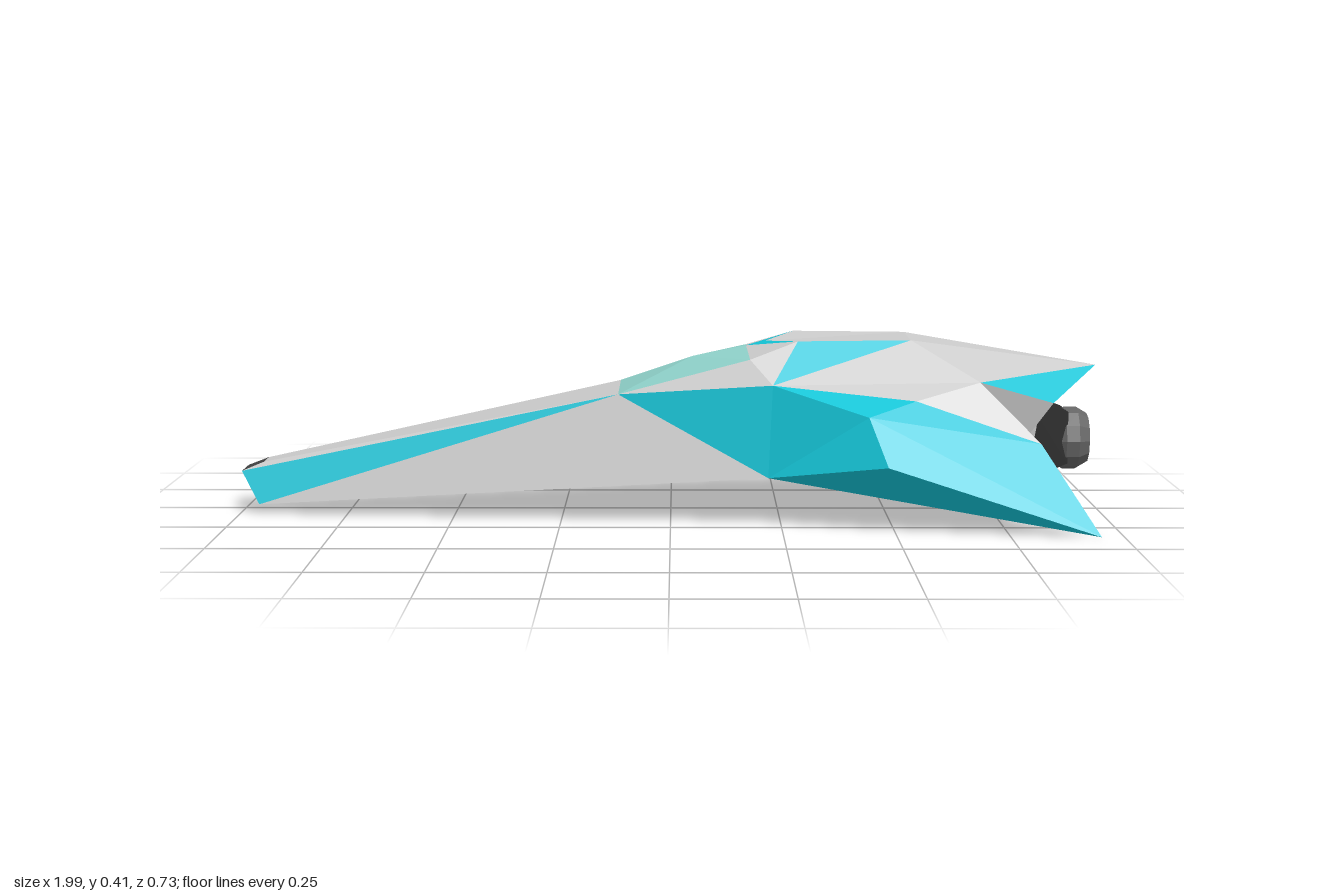
import * as THREE from 'three';

const paint = (color) => new THREE.MeshStandardMaterial({ color, flatShading: true, side: THREE.DoubleSide });
const GREY = paint(0xcccccc), TEAL = paint(0x12c4d6), DARK = paint(0x444444), GLASS = paint(0x8fd2ca);

// Named hull corners on the left half (+z); a trailing "-" means the mirrored one.
const P = {
  noseTip: [-1, 0.095, 0.045], noseLow: [-0.955, 0.022, 0.08], noseTop: [-0.95, 0.115, 0.035],
  shoulder: [-0.12, 0.287, 0.135], belly: [0.22, 0.11, 0.235],
  glassTop: [0.05, 0.36, 0], glassRear: [0.18, 0.37, 0.165], glassMid: [0.175, 0.385, 0],
  roofNotch: [0.22, 0.396, 0], roofFront: [0.29, 0.407, 0.12], roofRear: [0.55, 0.407, 0.095],
  tail: [0.99, 0.34, 0], notch: [0.7, 0.32, 0.18],
  wingRoot: [0.23, 0.317, 0.215], wingRidge: [0.44, 0.257, 0.305], wingEdge: [0.48, 0.152, 0.355],
  wingTip: [0.95, 0, 0.363], wingMid: [0.55, 0.285, 0.24], wingBack: [0.83, 0.19, 0.25],
  wingLow: [0.72, 0.045, 0.277],
  hood: [0.87, 0.27, 0.155], frameMid: [0.8, 0.17, 0.135], frameLow: [0.78, 0.022, 0.12],
  bezelTop: [0.85, 0.268, 0.105], bezelLow: [0.82, 0.075, 0.092],
};

function corner(name) {
  const flip = name.endsWith('-');
  const [x, y, z] = P[flip ? name.slice(0, -1) : name];
  return new THREE.Vector3(x, y, flip ? -z : z);
}

// Panels are space-separated corner lists, mirrored across z = 0 and turned
// to face away from a point inside the hull.
function panels(name, material, lists, mirrored = true) {
  const pos = [];
  const inside = new THREE.Vector3();
  for (const list of lists) {
    const pts = list.split(' ').map(corner);
    for (let i = 1; i < pts.length - 1; i++) {
      let tri = [pts[0], pts[i], pts[i + 1]];
      const mid = tri[0].clone().add(tri[1]).add(tri[2]).divideScalar(3);
      inside.set(Math.min(mid.x, 0.6) * 0.95, 0.08 + 0.12 * Math.min(1, Math.max(0, mid.x + 0.8)), 0);
      const n = new THREE.Triangle(...tri).getNormal(new THREE.Vector3());
      if (n.dot(mid.sub(inside)) < 0) tri.reverse();
      tri.forEach((v) => pos.push(v.x, v.y, v.z));
      if (mirrored) tri.reverse().forEach((v) => pos.push(v.x, v.y, -v.z));
    }
  }
  const geo = new THREE.BufferGeometry();
  geo.setAttribute('position', new THREE.Float32BufferAttribute(pos, 3));
  geo.computeVertexNormals();
  const mesh = new THREE.Mesh(geo, material);
  mesh.name = name;
  return mesh;
}

function part(name, geometry, material, x, y, z) {
  const mesh = new THREE.Mesh(geometry, material);
  mesh.name = name;
  mesh.position.set(x, y, z);
  return mesh;
}

export function createModel() {
  const ship = new THREE.Group();
  ship.name = 'spaceship';

  // Nose
  ship.add(panels('noseSides', GREY, ['noseLow belly shoulder', 'noseTip shoulder noseTop']));
  ship.add(panels('noseStripes', TEAL, ['noseTip noseLow shoulder']));
  ship.add(panels('noseTop', GREY, ['noseTop shoulder shoulder- noseTop-'], false));
  ship.add(panels('noseCap', DARK, ['noseTip noseLow noseLow- noseTip-', 'noseTip noseTop noseTop- noseTip-'], false));

  // Canopy
  ship.add(panels('canopySides', GLASS, ['shoulder glassTop glassRear', 'glassTop glassRear glassMid']));
  ship.add(panels('canopyFront', GLASS, ['shoulder shoulder- glassTop'], false));
  ship.add(panels('canopySurround', GREY, [
    'shoulder glassRear wingRoot', 'glassRear wingRoot roofFront', 'glassMid glassRear roofFront']));

  // Roof and tail
  ship.add(panels('roofChevron', TEAL, ['glassMid roofFront roofNotch']));
  ship.add(panels('roof', GREY, [
    'roofNotch roofFront roofRear roofRear- roofFront-', 'roofRear tail roofRear-'], false));
  ship.add(panels('roofSides', GREY, [
    'roofRear notch tail', 'wingRoot roofRear notch', 'wingRoot notch wingMid', 'wingMid notch wingBack']));
  ship.add(panels('roofStripes', TEAL, ['wingRoot roofFront roofRear']));
  ship.add(panels('tailTrim', TEAL, ['notch tail hood']));

  // Wings
  ship.add(panels('wings', TEAL, [
    'shoulder belly wingRoot', 'wingRoot belly wingRidge', 'belly wingEdge wingRidge',
    'wingRoot wingRidge wingMid', 'wingRidge wingEdge wingTip', 'wingRidge wingTip wingBack',
    'wingRidge wingBack wingMid', 'belly wingTip wingEdge', 'wingBack wingLow frameLow']));
  ship.add(panels('wingBacks', GREY, [
    'wingBack wingLow wingTip', 'notch frameMid wingBack', 'wingBack frameMid frameLow', 'notch hood frameMid']));

  // Underside
  ship.add(panels('bellyPlate', DARK, [
    'noseLow belly belly- noseLow-', 'belly frameLow frameLow- belly-'], false));
  ship.add(panels('wingUndersides', DARK, ['belly wingTip wingLow', 'belly wingLow frameLow']));

  // Engine bay frame
  ship.add(panels('tailHood', DARK, ['tail hood hood-'], false));
  ship.add(panels('bayLowerLip', DARK, ['frameLow bezelLow bezelLow- frameLow-'], false));
  ship.add(panels('baySides', GREY, [
    'hood frameMid bezelTop', 'frameMid frameLow bezelLow', 'frameMid bezelLow bezelTop']));
  ship.add(part('bayLightBar', new THREE.BoxGeometry(0.05, 0.02, 0.18), GREY, 0.815, 0.074, 0));
  ship.add(part('bellyPod', new THREE.BoxGeometry(0.1, 0.02, 0.16), DARK, 0.72, 0.029, 0));

  // Engine block: a four-sided taper, then the round nozzle
  const block = new THREE.CylinderGeometry(0.085, 0.135, 0.1, 4, 1);
  block.rotateY(Math.PI / 4).rotateZ(-Math.PI / 2);
  ship.add(part('engineBlock', block, paint(0x2a2a2a), 0.87, 0.176, 0));

  const profile = [[0.06, 0], [0.073, 0.02], [0.073, 0.05], [0.058, 0.075], [0.045, 0.075], [0.043, 0.05]]
    .map(([r, h]) => new THREE.Vector2(r, h));
  const nozzle = new THREE.LatheGeometry(profile, 12).rotateZ(-Math.PI / 2);
  ship.add(part('nozzle', nozzle, paint(0x666666), 0.897, 0.168, 0));
  const glow = new THREE.CircleGeometry(0.045, 12).rotateY(Math.PI / 2);
  ship.add(part('nozzleCore', glow, GREY, 0.95, 0.168, 0));

  return ship;
}
